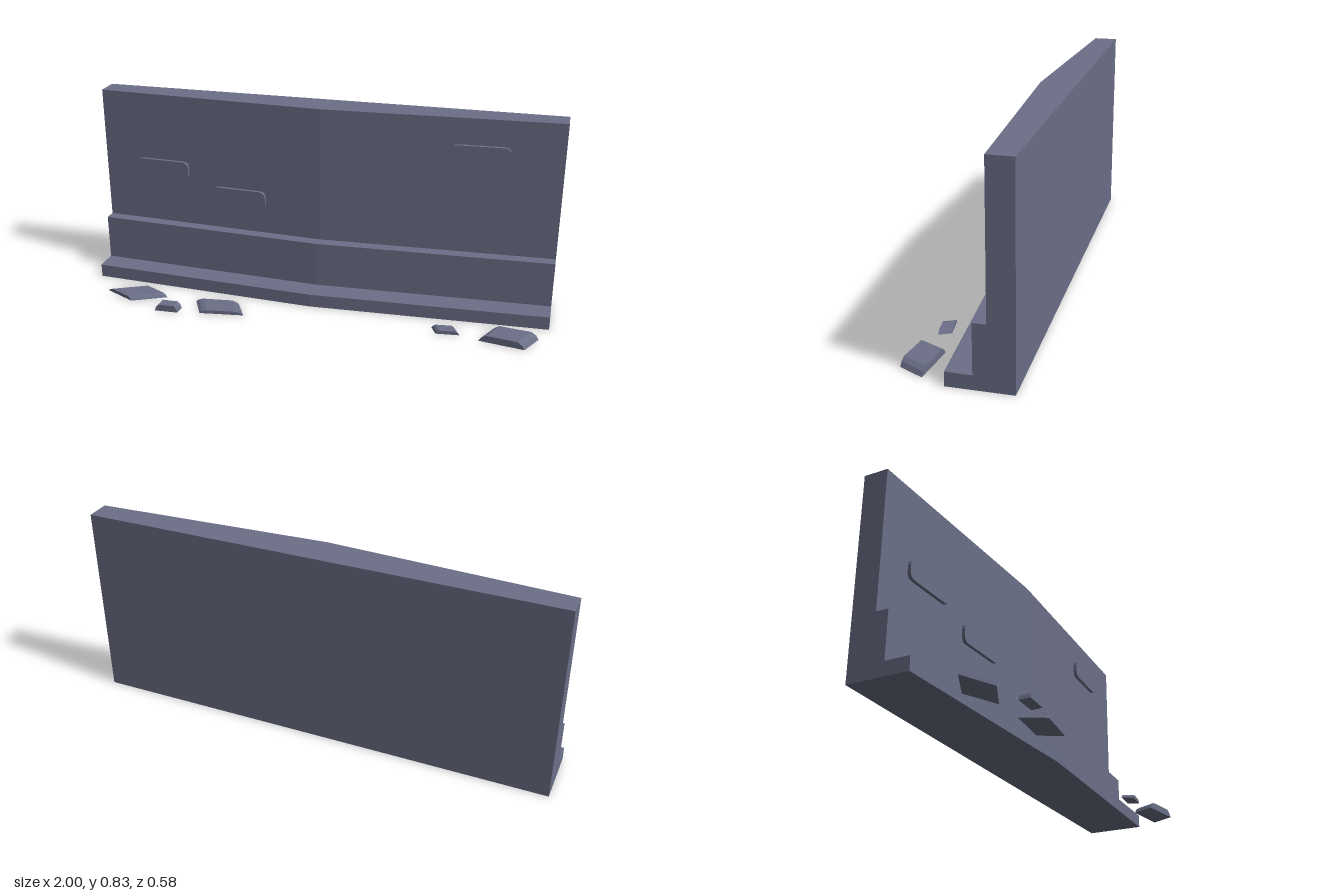
import * as THREE from 'three';

const stone = new THREE.MeshStandardMaterial({ color: 0x6b6f87 });
stone.name = 'slate stone';

// Closed solid: a 2D profile (counterclockwise) carried through a row of placing functions
function loft(profile, places) {
  const rings = places.map(place => profile.map(([u, y]) => place(u, y)));
  const pos = [];
  const tri = (a, b, c) => pos.push(...a, ...b, ...c);
  for (let k = 0; k + 1 < rings.length; k++) {
    const A = rings[k], B = rings[k + 1];
    profile.forEach((_, i) => {
      const j = (i + 1) % profile.length;
      tri(A[i], B[i], B[j]);
      tri(A[i], B[j], A[j]);
    });
  }
  const first = rings[0], last = rings[rings.length - 1];
  const contour = profile.map(([u, y]) => new THREE.Vector2(u, y));
  for (const [a, b, c] of THREE.ShapeUtils.triangulateShape(contour, [])) {
    tri(first[a], first[b], first[c]);
    tri(last[a], last[c], last[b]);
  }
  const geo = new THREE.BufferGeometry();
  geo.setAttribute('position', new THREE.Float32BufferAttribute(pos, 3));
  geo.computeVertexNormals();
  return geo;
}

// Stepped wall: straight back, front bent at the middle
function wallGeometry() {
  const steps = [[0, 0], [0.25, 0], [0.25, 0.056], [0.15, 0.056],
    [0.15, 0.25], [0.10, 0.25], [0.10, 0.833], [0, 0.833]];
  const station = (x, z, slant, extra) => (d, y) => [x + d * slant, y, z + d + (d > 0 ? extra : 0)];
  return loft(steps, [
    station(-1, -0.19, 0.05, 0),
    station(0, -0.24, 0, 0.05),
    station(0.985, -0.29, 0.05, 0),
  ]);
}

// Raised brick with rounded corners
function brickGeometry(w, h, depth) {
  const s = new THREE.Shape(), x = w / 2, y = h / 2, r = 0.028;
  s.moveTo(-x + r, -y);
  s.lineTo(x - r, -y).quadraticCurveTo(x, -y, x, -y + r);
  s.lineTo(x, y - r).quadraticCurveTo(x, y, x - r, y);
  s.lineTo(-x + r, y).quadraticCurveTo(-x, y, -x, y - r);
  s.lineTo(-x, -y + r).quadraticCurveTo(-x, -y, -x + r, -y);
  return new THREE.ExtrudeGeometry(s, { depth, bevelEnabled: false, curveSegments: 3 });
}

// Half-sunken stone on a ground outline: front left, front right, back right, back left
function rubbleGeometry(h, fl, fr, br, bl) {
  const arch = [[0, 0], [1, 0], [0.94, h * 0.6], [0.84, h], [0.16, h], [0.06, h * 0.6]];
  const edge = (a, b) => (t, y) => [a[0] + (b[0] - a[0]) * t, y, a[1] + (b[1] - a[1]) * t];
  return loft(arch, [edge(fl, fr), edge(bl, br)]);
}

export function createModel() {
  const model = new THREE.Group();
  model.name = 'steppedWall';
  const add = (name, geo) => {
    const mesh = new THREE.Mesh(geo, stone);
    mesh.name = name;
    model.add(mesh);
    return mesh;
  };

  add('wall', wallGeometry());

  // Bricks: centre x, y, wall surface z, turn
  [
    [-0.72, 0.498, -0.09, 0],
    [-0.365, 0.40, -0.09, 0],
    [0.657, 0.68, -0.156, Math.atan(0.101)],
  ].forEach(([x, y, z, turn], i) => {
    const brick = add('brick' + (i + 1), brickGeometry(0.243, 0.083, 0.025));
    brick.geometry.translate(0, 0, -0.011);
    brick.position.set(x, y, z);
    brick.rotation.y = turn;
  });

  // Rubble in front of the wall: height, then outline corners in x, z
  [
    [0.015, [-0.89, 0.18], [-0.75, 0.24], [-0.615, 0.165], [-0.755, 0.105]],
    [0.029, [-0.615, 0.29], [-0.515, 0.28], [-0.515, 0.235], [-0.615, 0.242]],
    [0.015, [-0.425, 0.255], [-0.24, 0.22], [-0.295, 0.13], [-0.48, 0.16]],
    [0.015, [0.56, 0.13], [0.655, 0.115], [0.63, 0.07], [0.535, 0.085]],
    [0.029, [0.735, 0.135], [0.92, 0.155], [0.965, 0.055], [0.775, 0.04]],
  ].forEach((r, i) => add('rubble' + (i + 1), rubbleGeometry(...r)));

  return model;
}
